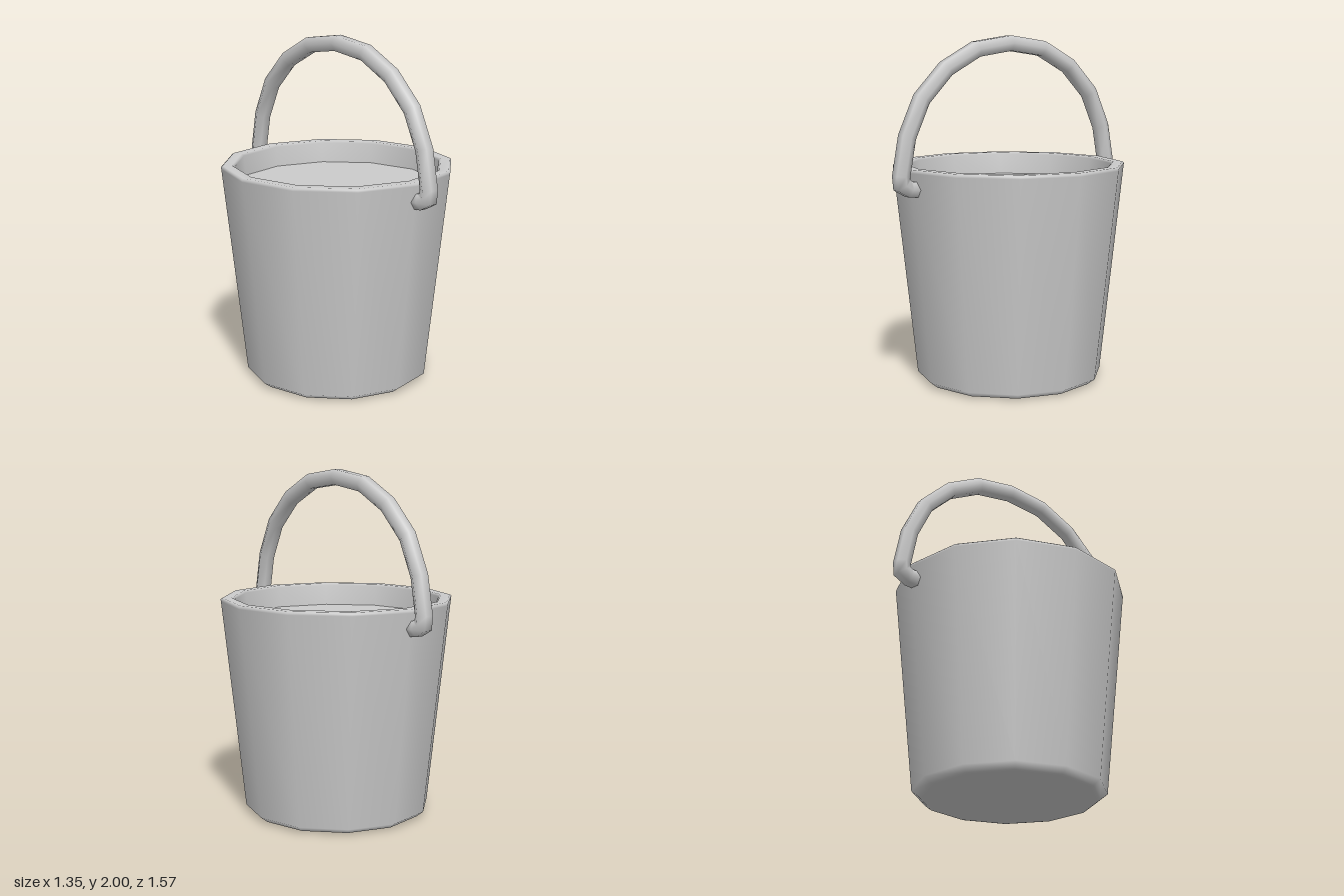
import * as THREE from 'three';

const SIDES = 12;

// Six-sided tube along a path in the z-y plane, flat faces turned inward and outward
function hexTube(path, radius) {
  const n = 6, pos = [], idx = [];
  const dir = (a, b) => new THREE.Vector2().subVectors(b, a).normalize();
  path.forEach((p, i) => {
    const before = dir(path[Math.max(i - 1, 0)], path[Math.max(i, 1)]);
    const after = dir(path[Math.min(i, path.length - 2)], path[Math.min(i + 1, path.length - 1)]);
    const t = before.clone().add(after).normalize();
    const miter = radius / t.dot(before);
    for (let j = 0; j < n; j++) {
      const a = j / n * Math.PI * 2;
      const s = Math.sin(a) * miter;
      pos.push(Math.cos(a) * radius, p.y - t.x * s, p.x + t.y * s);
    }
  });
  const last = path.length - 1;
  for (let i = 0; i < last; i++) {
    for (let j = 0; j < n; j++) {
      const a = i * n + j, b = i * n + (j + 1) % n;
      idx.push(a, a + n, b, b, a + n, b + n);
    }
  }
  // end caps
  const c = path.length * n;
  pos.push(0, path[0].y, path[0].x, 0, path[last].y, path[last].x);
  for (let j = 0; j < n; j++) {
    const k = (j + 1) % n;
    idx.push(c, j, k, c + 1, last * n + k, last * n + j);
  }
  const g = new THREE.BufferGeometry();
  g.setAttribute('position', new THREE.Float32BufferAttribute(pos, 3));
  g.setIndex(idx);
  g.computeVertexNormals();
  return g;
}

export function createModel() {
  const model = new THREE.Group();
  model.name = 'bucket';
  const grey = new THREE.MeshStandardMaterial({ color: 0xcccccc });
  const add = (name, geometry) => {
    const mesh = new THREE.Mesh(geometry, grey);
    mesh.name = name;
    model.add(mesh);
    return mesh;
  };

  // Tapered wall with bevelled base and rim: underside, outside, rim, inside
  const profile = [
    [0, 0], [0.48, 0], [0.5, 0.003], [0.542, 0.035],
    [0.673, 1.25], [0.675, 1.262], [0.665, 1.27],
    [0.612, 1.27], [0.598, 1.258], [0.585, 1.1],
  ].map(([r, y]) => new THREE.Vector2(r, y));
  add('pail', new THREE.LatheGeometry(profile, SIDES));

  // Flat surface of the contents, just below the rim
  const contents = add('contents', new THREE.CircleGeometry(0.589, SIDES));
  contents.rotation.x = -Math.PI / 2;
  contents.position.y = 1.14;

  // Arched handle with hooked ends, half the path mirrored front to back
  const half = [
    [0.63, 1.16], [0.69, 1.165], [0.735, 1.19], [0.74, 1.24], [0.7, 1.452],
    [0.603, 1.658], [0.44, 1.82], [0.235, 1.925],
  ];
  const path = [...half, [0, 1.957], ...half.map(([z, y]) => [-z, y]).reverse()]
    .map(([z, y]) => new THREE.Vector2(z, y));
  const handle = add('handle', hexTube(path, 0.05));
  handle.rotation.y = 0.036;

  return model;
}
